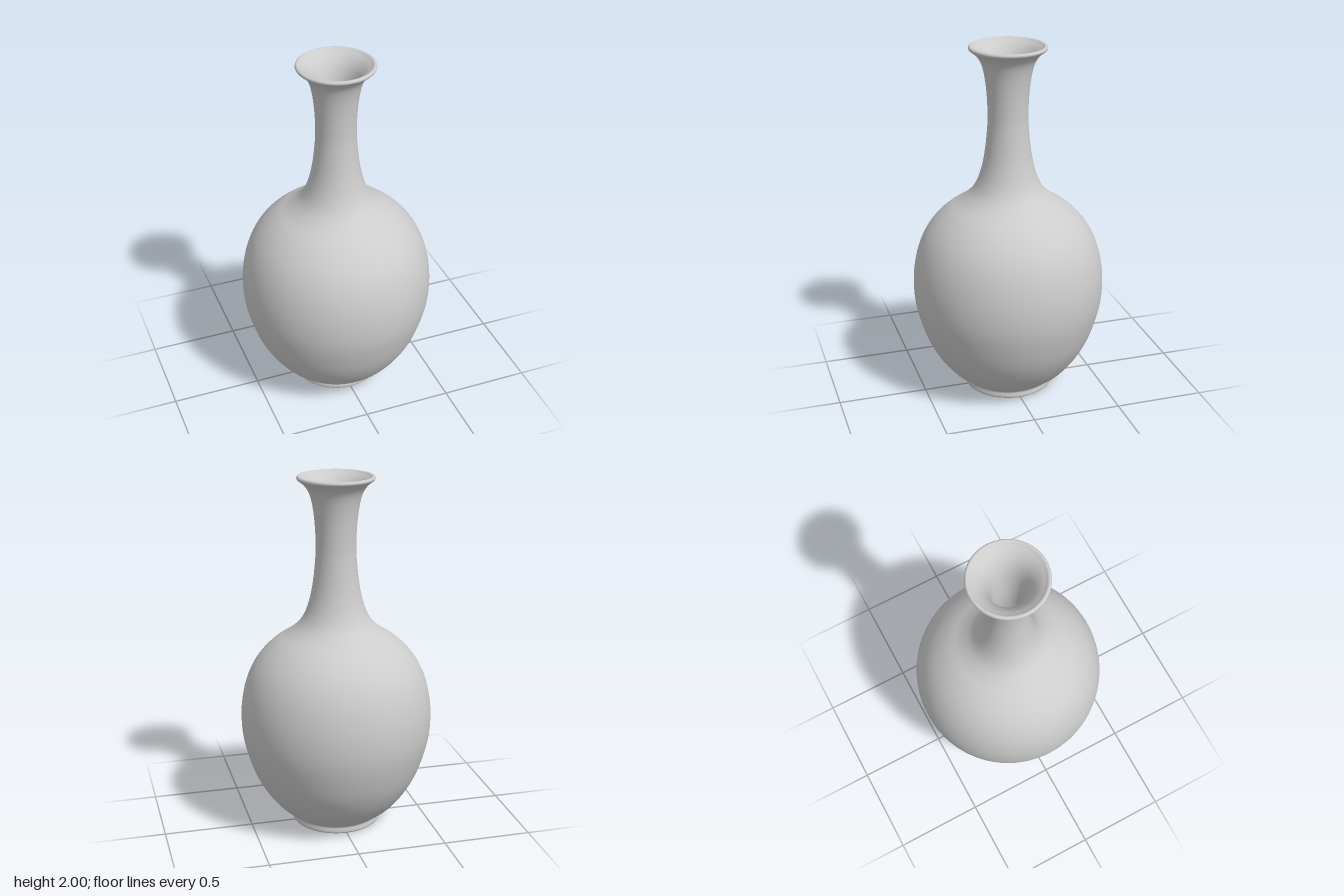
import * as THREE from 'three';

const v = ([r, y]) => new THREE.Vector2(r, y);
const smooth = (points, n) => new THREE.SplineCurve(points.map(v)).getPoints(n);

export function createModel() {
  const group = new THREE.Group();
  group.name = 'vase';
  const glaze = new THREE.MeshStandardMaterial({ color: 0xcccccc });
  glaze.name = 'pale grey glaze';

  const turn = (name, points) => {
    const mesh = new THREE.Mesh(new THREE.LatheGeometry(points, 96), glaze);
    mesh.name = name;
    group.add(mesh);
  };

  // Flat underside and low foot ring with softened edges
  turn('foot', [[0, 0], [0.238, 0], [0.243, 0.001], [0.248, 0.005], [0.251, 0.012],
    [0.25, 0.024], [0.247, 0.034], [0.249, 0.042], [0.258, 0.051]].map(v));

  // Rounded belly flowing through the shoulder into the slim neck
  turn('bodyAndNeck', smooth([[0.258, 0.051], [0.3, 0.08], [0.35, 0.127], [0.41, 0.205],
    [0.465, 0.305], [0.505, 0.42], [0.53, 0.53], [0.537, 0.635], [0.53, 0.735],
    [0.507, 0.84], [0.467, 0.935], [0.41, 1.015], [0.34, 1.08], [0.265, 1.13],
    [0.205, 1.185], [0.168, 1.25], [0.142, 1.335], [0.125, 1.43], [0.113, 1.55],
    [0.111, 1.64], [0.116, 1.745], [0.128, 1.84], [0.147, 1.91], [0.175, 1.952],
    [0.205, 1.976]], 110));

  // Rolled lip
  turn('lip', smooth([[0.205, 1.976], [0.212, 1.985], [0.211, 1.994], [0.204, 2],
    [0.195, 1.998], [0.187, 1.991]], 20));

  // Hollow inside, running down the neck to a flat floor
  turn('interior', [...smooth([[0.187, 1.991], [0.155, 1.965], [0.122, 1.92], [0.097, 1.85],
    [0.082, 1.75], [0.075, 1.64], [0.077, 1.55], [0.089, 1.43], [0.107, 1.33],
    [0.135, 1.24], [0.175, 1.165], [0.24, 1.105], [0.315, 1.055], [0.385, 0.99],
    [0.44, 0.91], [0.483, 0.81], [0.501, 0.635], [0.472, 0.42], [0.38, 0.21],
    [0.27, 0.09], [0.22, 0.062]], 90), v([0.2, 0.06]), v([0, 0.06])]);

  return group;
}
